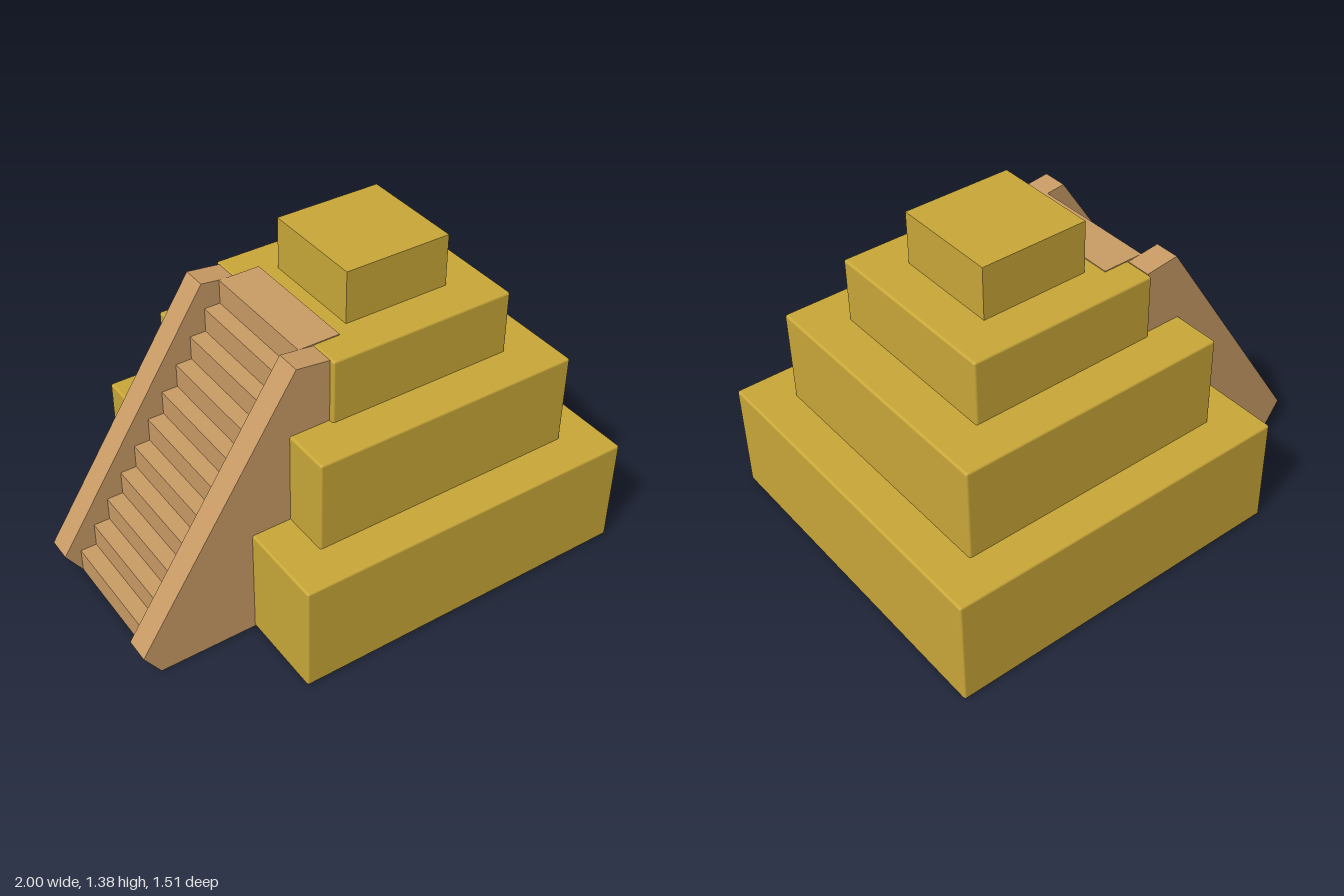
import * as THREE from 'three';
import { RoundedBoxGeometry } from 'three/addons/geometries/RoundedBoxGeometry.js';

function material(name, color) {
  const m = new THREE.MeshStandardMaterial({ color });
  m.name = name;
  return m;
}

// Extrude an x/y outline from z0 to z1
function slab(points, z0, z1) {
  const shape = new THREE.Shape(points.map(([x, y]) => new THREE.Vector2(x, y)));
  return new THREE.ExtrudeGeometry(shape, { depth: z1 - z0, bevelEnabled: false }).translate(0, 0, z0);
}

export function createModel() {
  const group = new THREE.Group();
  group.name = 'steppedPyramid';
  const gold = material('goldStone', 0xc9a738);
  const tan = material('tanStone', 0xc99b65);
  const blue = material('bluePanel', 0x4a5384);
  const orange = material('orangePanel', 0xb8531f);
  const brown = material('darkBrownPanel', 0x4a2414);

  const add = (name, geometry, mat, x = 0, y = 0, z = 0) => {
    const mesh = new THREE.Mesh(geometry, mat);
    mesh.name = name;
    mesh.position.set(x, y, z);
    group.add(mesh);
    return mesh;
  };

  // Tiers with softened edges: x min, x max, half depth, bottom, top
  const tiers = [
    [-0.51, 1.0, 0.755, 0, 0.48],
    [-0.34, 0.83, 0.585, 0.46, 0.88],
    [-0.165, 0.65, 0.405, 0.86, 1.155],
  ];
  tiers.forEach(([x0, x1, d, y0, y1], i) => {
    add(`tier${i + 1}`, new RoundedBoxGeometry(x1 - x0, y1 - y0, d * 2, 2, 0.01),
      gold, (x0 + x1) / 2, (y0 + y1) / 2, 0);
  });

  // Sharp-edged block at the summit
  add('summitBlock', new THREE.BoxGeometry(0.465, 0.23, 0.46), gold, 0.2425, 1.265, 0);

  // Staircase with a sloping hollow underside and a landing on the third tier
  const count = 11, run = 0.07, rise = 1.159 / count;
  const steps = [];
  for (let i = 0; i < count; i++) {
    const x = -0.93 + i * run;
    steps.push([x, i * rise], [x, (i + 1) * rise]);
  }
  steps.push([-0.05, 1.159], [-0.05, 1.05], [-0.77, 0]);
  add('steps', slab(steps, -0.276, 0.276), tan);

  // Sloping side walls
  const wall = [[-0.93, 0], [-0.45, 0], [-0.165, 0.6], [-0.165, 1.152], [-0.31, 1.17], [-1, 0.105]];
  add('leftSideWall', slab(wall, -0.383, -0.276), tan);
  add('rightSideWall', slab(wall, 0.276, 0.383), tan);

  // Coloured plates in the hollow below the stairs
  add('hollowBluePlate', new THREE.BoxGeometry(0.25, 0.008, 0.55), blue, -0.635, 0.03, 0);
  add('hollowOrangePlate', new THREE.BoxGeometry(0.12, 0.008, 0.12), orange, -0.57, 0.024, 0.2);
  add('hollowOrangePatch', new THREE.BoxGeometry(0.08, 0.008, 0.08), orange, -0.65, 0.024, 0);
  add('hollowBrownPlate', new THREE.BoxGeometry(0.08, 0.008, 0.16), brown, -0.56, 0.024, -0.06);

  return group;
}
